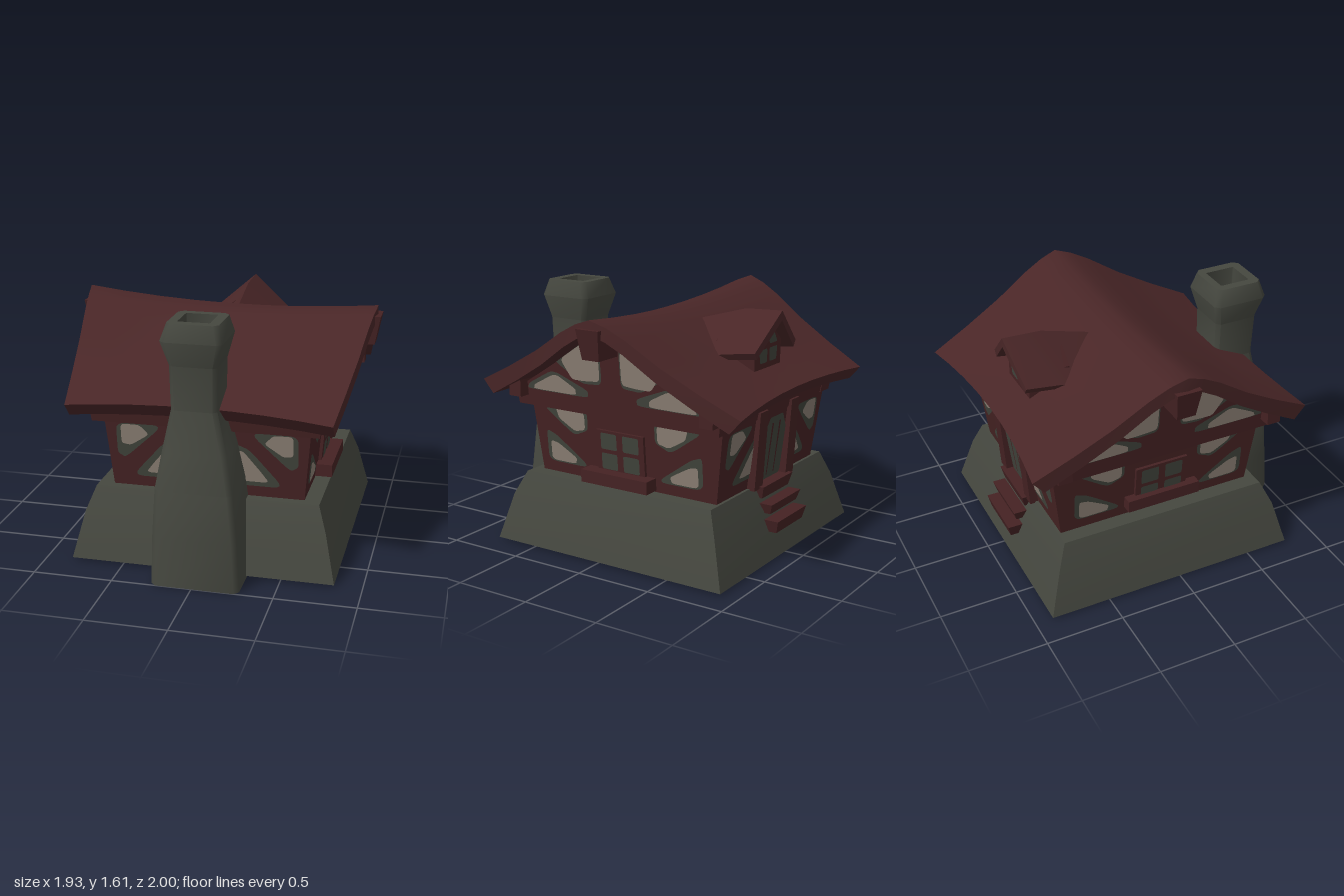
import * as THREE from 'three';
import { toCreasedNormals } from 'three/addons/utils/BufferGeometryUtils.js';

const mat = (name, color, side = THREE.DoubleSide) => {
  const m = new THREE.MeshStandardMaterial({ color, side });
  m.name = name;
  return m;
};
const V = (x, y, z) => new THREE.Vector3(x, y, z);
const CZ = -0.06; // z of the ridge line

// Skin between equal rings (counter-clockwise seen from the far end), with strip caps
function loft(rings, crease = 0.5, capStart = true, capEnd = true) {
  const n = rings[0].length, pos = rings.flat().flatMap(p => [p.x, p.y, p.z]), idx = [];
  const quad = (a, b, c, d) => idx.push(a, b, c, a, c, d);
  for (let i = 0; i < rings.length - 1; i++)
    for (let k = 0; k < n; k++) {
      const a = i * n + k, b = i * n + (k + 1) % n;
      quad(a, b, b + n, a + n);
    }
  const e = (rings.length - 1) * n;
  for (let k = 0; k < n / 2 - 1; k++) {
    if (capEnd) quad(e + k, e + k + 1, e + n - 2 - k, e + n - 1 - k);
    if (capStart) quad(n - 1 - k, n - 2 - k, k + 1, k);
  }
  const g = new THREE.BufferGeometry();
  g.setAttribute('position', new THREE.Float32BufferAttribute(pos, 3));
  g.setIndex(idx);
  return toCreasedNormals(g, crease);
}

// Horizontal rings
const rect = (y, x0, x1, z0, z1) => [V(x1, y, z1), V(x1, y, z0), V(x0, y, z0), V(x0, y, z1)];
const chamfered = (y, x0, x1, z0, z1, c) => [
  [x1, z1 - c], [x1, z0 + c], [x1 - c, z0], [x0 + c, z0],
  [x0, z0 + c], [x0, z1 - c], [x0 + c, z1], [x1 - c, z1]].map(([x, z]) => V(x, y, z));

// Flat polygon with softened corners, laid on a wall by a mapping (u, y, offset) -> point
function plateGeometry(pts, map, offset, round) {
  const s = new THREE.Shape(), n = pts.length;
  const p = pts.map(q => new THREE.Vector2(...q));
  p.forEach((c, i) => {
    const a = c.clone().lerp(p[(i + n - 1) % n], round), b = c.clone().lerp(p[(i + 1) % n], round);
    i ? s.lineTo(a.x, a.y) : s.moveTo(a.x, a.y);
    s.quadraticCurveTo(c.x, c.y, b.x, b.y);
  });
  const g = new THREE.ShapeGeometry(s, 4), at = g.attributes.position;
  for (let i = 0; i < at.count; i++) at.setXYZ(i, ...map(at.getX(i), at.getY(i), offset).toArray());
  g.computeVertexNormals();
  return g;
}

export function createModel() {
  const house = new THREE.Group();
  house.name = 'cottage';
  const stone = mat('stone', 0x45473f), roofRed = mat('roof red', 0x492627),
    timber = mat('timber', 0x452223), plaster = mat('plaster', 0x8a7e73),
    shade = mat('plaster edge and glass', 0x40433b);
  const add = (name, geo, m) => {
    const mesh = new THREE.Mesh(geo, m);
    mesh.name = name;
    house.add(mesh);
    return mesh;
  };
  const plate = (name, pts, map, off, m, round = 0.22) => add(name, plateGeometry(pts, map, off, round), m);
  const panel = (edge, fill, map) => {
    plate('panelEdge', edge, map, 0.004, shade);
    plate('panelFill', fill, map, 0.008, plaster);
  };

  // Foundation, open underneath
  add('foundation', loft([
    rect(0.015, -0.83, 0.83, -0.89, 0.78), rect(0.31, -0.76, 0.76, -0.805, 0.7),
    rect(0.46, -0.705, 0.705, -0.745, 0.63)], 0.4, false), stone);

  // Chimney with flue
  add('chimney', loft([
    [0, -0.255, 0.29, 0.43, 1, 0.03], [0.3, -0.25, 0.27, 0.45, 0.98, 0.03],
    [0.6, -0.235, 0.24, 0.48, 0.96, 0.03], [0.82, -0.2, 0.195, 0.53, 0.915, 0.03],
    [1.08, -0.15, 0.13, 0.59, 0.87, 0.025], [1.35, -0.155, 0.135, 0.59, 0.88, 0.025],
    [1.5, -0.2, 0.172, 0.55, 0.92, 0.03], [1.605, -0.165, 0.145, 0.58, 0.89, 0.03],
    [1.605, -0.11, 0.085, 0.63, 0.83, 0.005], [1.2, -0.11, 0.085, 0.63, 0.83, 0.005],
  ].map(r => chamfered(...r)), 0.8, false), stone);

  // Timber-framed walls and overhanging upper band
  add('walls', loft([rect(0.45, -0.605, 0.605, -0.725, 0.57), rect(0.92, -0.645, 0.645, -0.785, 0.62)]), timber);
  add('upperBand', loft([rect(0.905, -0.695, 0.695, -0.79, 0.675), rect(1.02, -0.715, 0.715, -0.81, 0.695)]), timber);

  // Wall surfaces
  const lowX = y => 0.605 + 0.085 * (y - 0.45), highX = y => 0.705 + 0.1 * (y - 0.9);
  const front = s => (u, y, o) => V(s * u, y, 0.57 + 0.106 * (y - 0.45) + o);
  const back = s => (u, y, o) => V(s * u, y, -0.725 - 0.128 * (y - 0.45) - o);
  const gable = (sx, sz, X) => (d, y, o) => V(sx * (X(y) + o), y, CZ + sz * d);

  // Panels beside the chimney and the door
  for (const wall of [front, back]) for (const s of [1, -1]) {
    panel([[0.27, 0.885], [0.57, 0.885], [0.57, 0.68], [0.52, 0.65]],
      [[0.36, 0.82], [0.42, 0.88], [0.54, 0.88], [0.54, 0.75], [0.48, 0.74]], wall(s));
    panel([[0.17, 0.53], [0.48, 0.53], [0.27, 0.77], [0.17, 0.81]],
      [[0.18, 0.56], [0.39, 0.56], [0.33, 0.64], [0.23, 0.76], [0.18, 0.76]], wall(s));
  }

  // Gable ends
  const gableTop = [[-0.75, 1.0], [-0.43, 1.2], [-0.2, 1.36], [0, 1.45], [0.2, 1.36], [0.43, 1.2], [0.75, 1.0]];
  for (const sx of [1, -1]) {
    const ring = depth => [
      ...gableTop.map(([d, y]) => V(sx * (highX(y) - depth), y, CZ + d)),
      ...gableTop.map(([d]) => V(sx * (highX(0.905) - depth), 0.905, CZ - d * 0.98))];
    add('gableWall', loft(sx > 0 ? [ring(0.12), ring(0)] : [ring(0), ring(0.12)]), timber);

    for (const sz of [1, -1]) {
      const low = gable(sx, sz, lowX), high = gable(sx, sz, highX);
      panel([[0.25, 0.9], [0.6, 0.9], [0.58, 0.82], [0.36, 0.74], [0.25, 0.77]].slice(0, 1)
        .concat([[0.6, 0.9], [0.59, 0.75], [0.54, 0.68], [0.25, 0.8]].slice(0, 1), [[0.36, 0.73], [0.25, 0.78]]),
      [[0.27, 0.895], [0.49, 0.895], [0.47, 0.83], [0.35, 0.76], [0.27, 0.78]], low);
      panel([[0.25, 0.53], [0.58, 0.53], [0.58, 0.74], [0.5, 0.71]],
        [[0.36, 0.54], [0.55, 0.54], [0.55, 0.67], [0.49, 0.66], [0.35, 0.58]], low);
      panel([[0.07, 1.11], [0.22, 1.1], [0.43, 1.23], [0.24, 1.36], [0.1, 1.42], [0.07, 1.35]],
        [[0.08, 1.13], [0.2, 1.12], [0.29, 1.12], [0.37, 1.24], [0.22, 1.34], [0.12, 1.39], [0.08, 1.32]], high);
      panel([[0.18, 1.015], [0.65, 1.015], [0.64, 1.05], [0.44, 1.16], [0.18, 1.06]],
        [[0.27, 1.02], [0.6, 1.02], [0.59, 1.05], [0.42, 1.14], [0.27, 1.06]], high);
      // Window panes
      const pane = (y0, y1) => [[0.022, y0], [0.14, y0], [0.14, y1], [0.022, y1]];
      plate('windowPane', pane(0.555, 0.66), low, 0.024, shade, 0.12);
      plate('windowPane', pane(0.685, 0.79), low, 0.024, shade, 0.12);
      // Eave beam ends
      const purlin = add('eaveBeamEnd', new THREE.BoxGeometry(0.19, 0.13, 0.09), timber);
      purlin.position.set(sx * 0.695, 1.035, CZ + sz * 0.7);
    }
    // Tapered blocks mirrored to each end: [y, inner x, outer x, z0, z1]
    const block = (name, ...rows) => add(name, loft(rows.map(([y, a, b, z0, z1]) =>
      rect(y, Math.min(sx * a, sx * b), Math.max(sx * a, sx * b), z0, z1))), timber);
    block('windowFrame', [0.5, 0.5, lowX(0.5) + 0.02, -0.235, 0.115], [0.805, 0.5, lowX(0.805) + 0.02, -0.235, 0.115]);
    const sillY = sx > 0 ? 0.47 : 0.52, sillX = sx > 0 ? 0.715 : 0.68;
    block('windowSill', [sillY, 0.55, sillX, -0.3, 0.19], [sillY + 0.08, 0.55, sillX, -0.3, 0.19]);
    block('ridgeBeamEnd', [1.305, 0.6, 0.93, -0.12, 0], [1.49, 0.6, 0.965, -0.14, 0.02]);
  }

  // Sagging main roof
  const profile = [[0, 1.56], [0.11, 1.52], [0.23, 1.455], [0.44, 1.315], [0.68, 1.18], [0.925, 1.055]];
  const slope = [...profile.slice(1).reverse().map(([d, y]) => [-d, y]), ...profile];
  const roofRing = s => {
    const bow = 1 - s * s;
    const point = under => ([d, y]) => {
      const t = Math.abs(d) / 0.925;
      return V(s * (0.94 - 0.13 * t),
        y - 0.015 * s * (1 - t) + bow * (-0.055 + 0.08 * t) - (under ? 0.085 : 0),
        CZ + d * (1 + 0.015 * s - 0.07 * bow) * (under ? 0.92 : 1));
    };
    return [...slope.map(point(false)), ...slope.map(point(true)).reverse()];
  };
  add('roof', loft([-1, -0.75, -0.5, -0.25, 0, 0.25, 0.5, 0.75, 1].map(roofRing), 1), roofRed);

  // Dormer: roof, wall and small window
  const dormerRing = (zMid, zSide, ridge, eave) => [
    V(0.26, eave, zSide), V(0, ridge, zMid), V(-0.26, eave, zSide),
    V(-0.235, eave - 0.04, zSide), V(0, ridge - 0.06, zMid), V(0.235, eave - 0.04, zSide)];
  add('dormerRoof', loft([dormerRing(-0.81, -0.77, 1.535, 1.31),
    dormerRing(-0.56, -0.54, 1.525, 1.28), dormerRing(-0.22, -0.22, 1.43, 1.15)], 0.6), roofRed);
  const dormerWall = z => [[0.17, 1.34], [0, 1.48], [-0.17, 1.34], [-0.16, 1.12], [0, 1.12], [0.16, 1.12]]
    .map(([x, y]) => V(x, y, z));
  add('dormerWall', loft([dormerWall(-0.715), dormerWall(-0.45)]), timber);
  for (const s of [1, -1]) {
    const map = (u, y, o) => V(s * u, y, -0.715 - o);
    plate('dormerPane', [[0.014, 1.21], [0.1, 1.21], [0.115, 1.295], [0.014, 1.295]], map, 0.005, shade, 0.15);
    plate('dormerPane', [[0.014, 1.32], [0.115, 1.32], [0.08, 1.375], [0.014, 1.42]], map, 0.005, shade, 0.15);
  }

  // Back door with posts and steps
  plate('door', [[-0.14, 0.47], [0.14, 0.47], [0.14, 0.78], [0.08, 0.88], [-0.08, 0.88], [-0.14, 0.78]], back(1), 0.011, shade, 0.1);
  for (const s of [1, -1]) {
    plate('doorSeam', [[0.04, 0.5], [0.05, 0.5], [0.055, 0.84], [0.035, 0.84]], back(s), 0.015, timber, 0.05);
    const x = s * 0.2;
    add('doorPost', loft([rect(0.45, x - 0.05, x + 0.05, -0.78, -0.65), rect(0.95, x - 0.05, x + 0.05, -0.815, -0.65)]), timber);
  }
  for (const [y0, y1, z] of [[0.385, 0.465, -0.81], [0.295, 0.36, -0.87], [0.18, 0.26, -0.915]])
    add('step', loft([rect(y0, -0.17, 0.17, z + 0.02, -0.65), rect(y1, -0.19, 0.19, z, -0.65)]), timber);

  return house;
}
